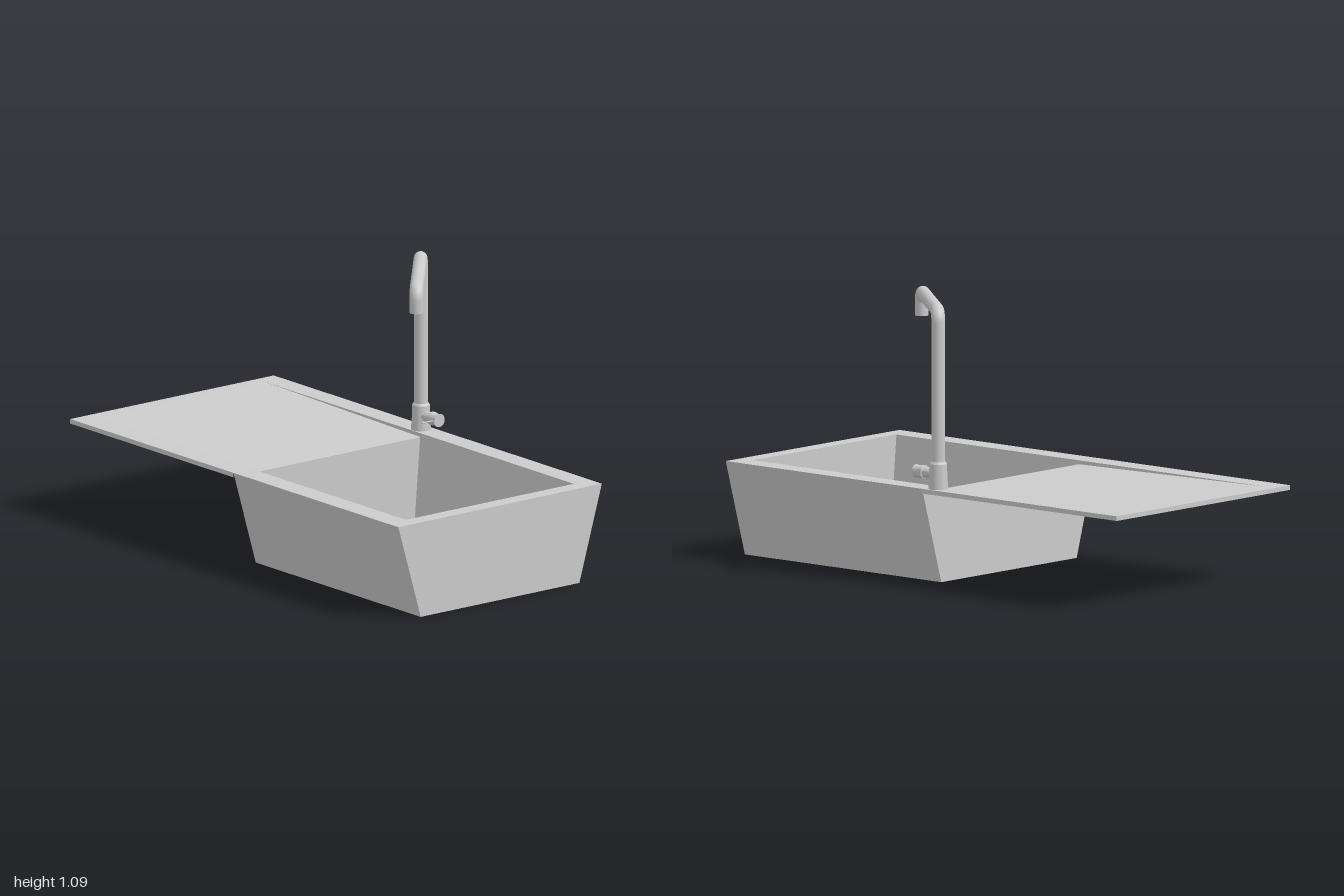
import * as THREE from 'three';
import { toCreasedNormals } from 'three/addons/utils/BufferGeometryUtils.js';

const material = new THREE.MeshStandardMaterial({ color: 0xcccccc });

function addMesh(parent, name, geometry) {
  const mesh = new THREE.Mesh(geometry, material);
  mesh.name = name;
  parent.add(mesh);
  return mesh;
}

// Collects flat faces; corners run counter-clockwise seen from outside
class Faces {
  constructor() { this.points = []; }
  tri(a, b, c) { this.points.push(...a, ...b, ...c); }
  quad(a, b, c, d) { this.tri(a, b, c); this.tri(a, c, d); }
  // Band between two four-cornered rings; sides: 0 front, 1 right, 2 back, 3 left
  band(lower, upper, sides = [0, 1, 2, 3]) {
    for (const i of sides) {
      const j = (i + 1) % 4;
      this.quad(lower[i], lower[j], upper[j], upper[i]);
    }
  }
  build() {
    const g = new THREE.BufferGeometry();
    g.setAttribute('position', new THREE.Float32BufferAttribute(this.points, 3));
    g.computeVertexNormals();
    return g;
  }
}

// Horizontal rectangle: front-left, front-right, back-right, back-left
const ring = (y, x0, x1, zBack, zFront) =>
  [[x0, y, zFront], [x1, y, zFront], [x1, y, zBack], [x0, y, zBack]];

const TOP = 0.375, UNDER = 0.357, DRAIN = 0.36;

function makeDrainer() {
  const f = new Faces();
  const hole = ring(TOP, -0.95, 0.935, -0.415, 0.41);
  // Flat rim around the drainer and bowl
  f.band(ring(TOP, -1, 1, -0.5, 0.5), hole);
  // Recess that falls gently toward the bowl
  const front = [0, DRAIN, 0.41], back = [0, DRAIN, -0.415];
  f.quad(hole[0], front, back, hole[3]);
  f.tri(hole[0], [0, TOP, 0.41], front);
  f.tri([0, TOP, -0.415], hole[3], back);
  // Thin slab edge and underside
  const under = ring(UNDER, -1, -0.005, -0.5, 0.5);
  f.band(under, ring(TOP, -1, -0.005, -0.5, 0.5), [0, 2, 3]);
  f.quad(under[3], under[2], under[1], under[0]);
  return f.build();
}

function makeBowl() {
  const f = new Faces();
  // Outside, tapering front and back
  const base = ring(0, -0.005, 1, -0.39, 0.39);
  f.band(base, ring(TOP, -0.005, 1, -0.5, 0.5), [0, 1, 2]);
  f.band(base, ring(UNDER, -0.005, 1, -0.495, 0.495), [3]);
  f.quad(base[3], base[2], base[1], base[0]);
  // Inside
  const floor = ring(0.012, 0, 0.935, -0.385, 0.377);
  f.band(ring(TOP, 0, 0.935, -0.415, 0.41), floor, [0, 1, 2]);
  f.band(ring(DRAIN, 0, 0.935, -0.415, 0.41), floor, [3]);
  f.quad(...floor);
  return f.build();
}

const turned = (profile, sides = 32) => toCreasedNormals(
  new THREE.LatheGeometry(profile.map(([r, y]) => new THREE.Vector2(r, y)), sides), 0.5);

// Swan neck: upright, level arm and short downturned outlet
function makeSpoutPath(reach) {
  const path = new THREE.CurvePath();
  const p = (x, y) => new THREE.Vector3(x, y, 0);
  const top = 1.063, b = 0.042, k = b * 0.45;
  path.add(new THREE.LineCurve3(p(0, 0.46), p(0, top - b)));
  path.add(new THREE.CubicBezierCurve3(p(0, top - b), p(0, top - k), p(k, top), p(b, top)));
  path.add(new THREE.LineCurve3(p(b, top), p(reach - b, top)));
  path.add(new THREE.CubicBezierCurve3(
    p(reach - b, top), p(reach - k, top), p(reach, top - k), p(reach, top - b)));
  path.add(new THREE.LineCurve3(p(reach, top - b), p(reach, 0.97)));
  return path;
}

function makeTap() {
  const tap = new THREE.Group();
  tap.name = 'tap';
  tap.position.set(-0.048, 0, -0.456);

  addMesh(tap, 'tapBase', turned([
    [0, 0.37], [0.038, 0.37], [0.038, 0.385], [0.035, 0.42], [0.034, 0.472], [0.028, 0.481], [0, 0.481],
  ]));

  // Spout swung diagonally over the bowl
  const spout = new THREE.Group();
  spout.name = 'spout';
  const dx = 0.366, dz = 0.317, reach = Math.hypot(dx, dz);
  spout.rotation.y = -Math.atan2(dz, dx);
  tap.add(spout);
  addMesh(spout, 'spoutPipe', new THREE.TubeGeometry(makeSpoutPath(reach), 160, 0.0265, 24));
  const outlet = addMesh(spout, 'spoutOutlet', new THREE.CircleGeometry(0.0265, 24));
  outlet.rotation.x = Math.PI / 2;
  outlet.position.set(reach, 0.97, 0);

  // Side control with a slim lever
  const control = addMesh(tap, 'controlKnob', turned([
    [0, 0], [0.021, 0], [0.021, 0.066], [0.026, 0.068], [0.026, 0.08], [0.023, 0.095], [0.026, 0.113], [0, 0.113],
  ]));
  control.rotation.z = -Math.PI / 2;
  control.position.y = 0.432;
  const lever = addMesh(tap, 'controlLever', new THREE.CylinderGeometry(0.003, 0.003, 0.066, 10));
  lever.rotation.x = Math.PI / 2;
  lever.position.set(0.1, 0.432, 0.043);
  return tap;
}

export function createModel() {
  const model = new THREE.Group();
  model.name = 'kitchenSink';
  addMesh(model, 'drainerTop', makeDrainer());
  addMesh(model, 'bowl', makeBowl());
  model.add(makeTap());
  return model;
}
